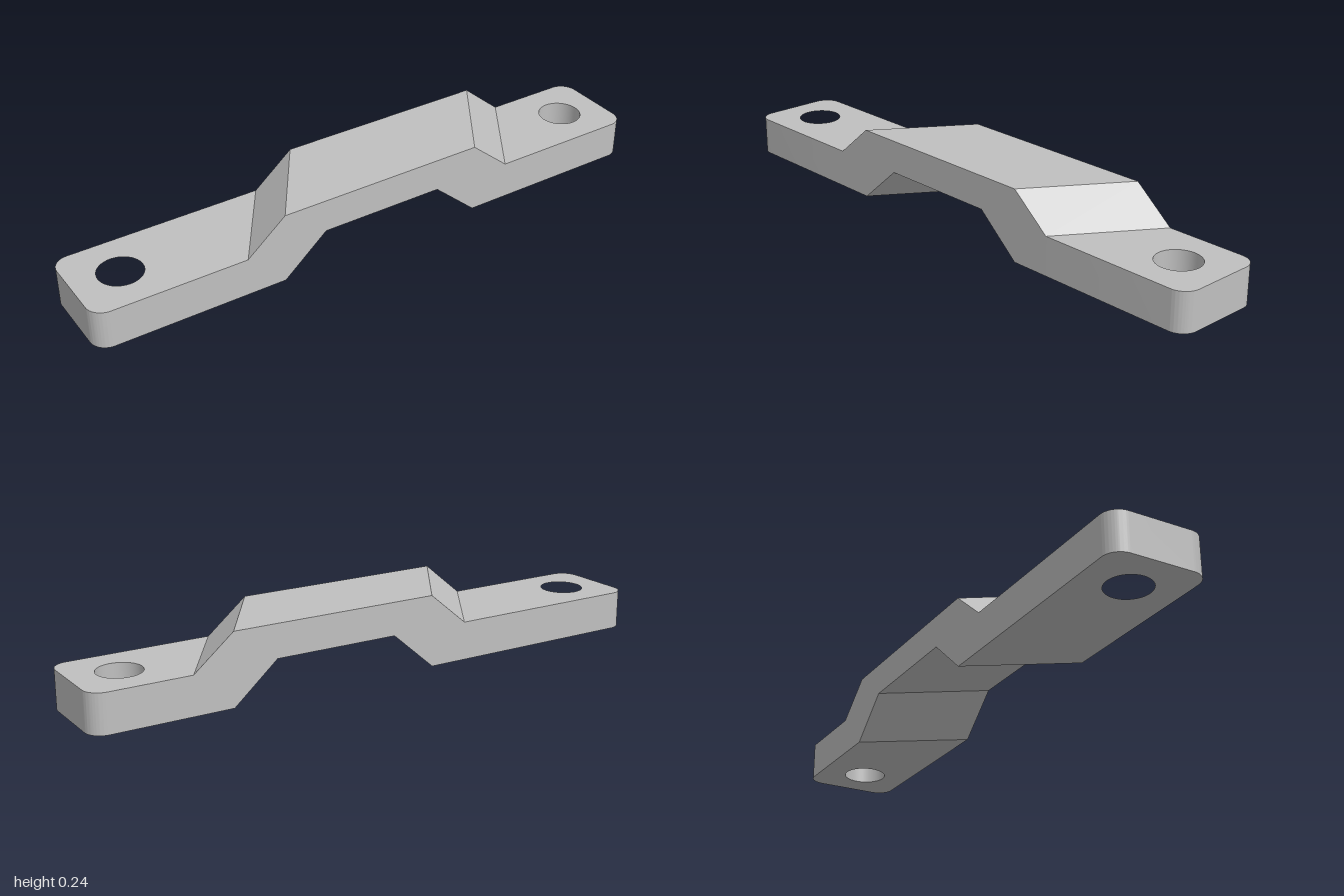
import * as THREE from 'three';
import { toCreasedNormals } from 'three/addons/utils/BufferGeometryUtils.js';

const HALF_WIDTH = 0.158;   // half depth of the strap along z
const THICK = 0.128;        // height of the flat end tabs
const TOP = 0.238;          // height of the raised bridge
const SKEW = 0.206;         // how far the bends move in x from front to back
const CORNER = 0.055;
const HOLE_X = 0.843;
const HOLE_R = 0.072;
const BRIDGE_START = -0.5;  // front ends of the bridge
const BRIDGE_END = 0.475;

// Flat end tab with rounded outer corners, a bolt hole and a slanted inner edge
function tabGeometry(side, innerX) {
  const w = HALF_WIDTH, cx = side * (1 - CORNER), cy = w - CORNER;
  const outward = side > 0 ? 0 : Math.PI;
  const clockwise = side < 0;
  const shape = new THREE.Shape();
  shape.moveTo(innerX, -w);
  shape.lineTo(cx, -w);
  shape.absarc(cx, -cy, CORNER, -Math.PI / 2, side > 0 ? 0 : -Math.PI, clockwise);
  shape.absarc(cx, cy, CORNER, outward, Math.PI / 2, clockwise);
  shape.lineTo(innerX + SKEW, w);
  shape.closePath();

  const hole = new THREE.Path();
  hole.absarc(side * HOLE_X, 0, HOLE_R, 0, Math.PI * 2, true);
  shape.holes.push(hole);

  const geometry = new THREE.ExtrudeGeometry(shape, { depth: THICK, bevelEnabled: false, curveSegments: 20 });
  geometry.rotateX(-Math.PI / 2);
  return toCreasedNormals(geometry, 0.6);
}

// Raised bridge: a side profile extruded through the depth and sheared in x
function bridgeGeometry() {
  const profile = [
    [BRIDGE_START, 0], [-0.373, 0], [-0.225, THICK], [0.197, THICK], [0.345, 0],
    [BRIDGE_END, 0], [BRIDGE_END, THICK], [0.342, TOP], [-0.368, TOP], [BRIDGE_START, THICK],
  ];
  const shape = new THREE.Shape(profile.map(([x, y]) => new THREE.Vector2(x, y)));
  const geometry = new THREE.ExtrudeGeometry(shape, { depth: 2 * HALF_WIDTH, bevelEnabled: false });
  geometry.translate(0, 0, -HALF_WIDTH);
  const pos = geometry.attributes.position;
  for (let i = 0; i < pos.count; i++) {
    const back = (HALF_WIDTH - pos.getZ(i)) / (2 * HALF_WIDTH);
    pos.setX(i, pos.getX(i) + SKEW * back);
  }
  geometry.computeVertexNormals();
  return geometry;
}

export function createModel() {
  const model = new THREE.Group();
  model.name = 'offsetStrap';
  const metal = new THREE.MeshStandardMaterial({ color: 0xc0c0c0 });
  metal.name = 'greyMetal';

  const add = (name, geometry) => {
    const mesh = new THREE.Mesh(geometry, metal);
    mesh.name = name;
    model.add(mesh);
  };
  add('rightTab', tabGeometry(-1, BRIDGE_START));
  add('leftTab', tabGeometry(1, BRIDGE_END));
  add('bridge', bridgeGeometry());
  return model;
}
